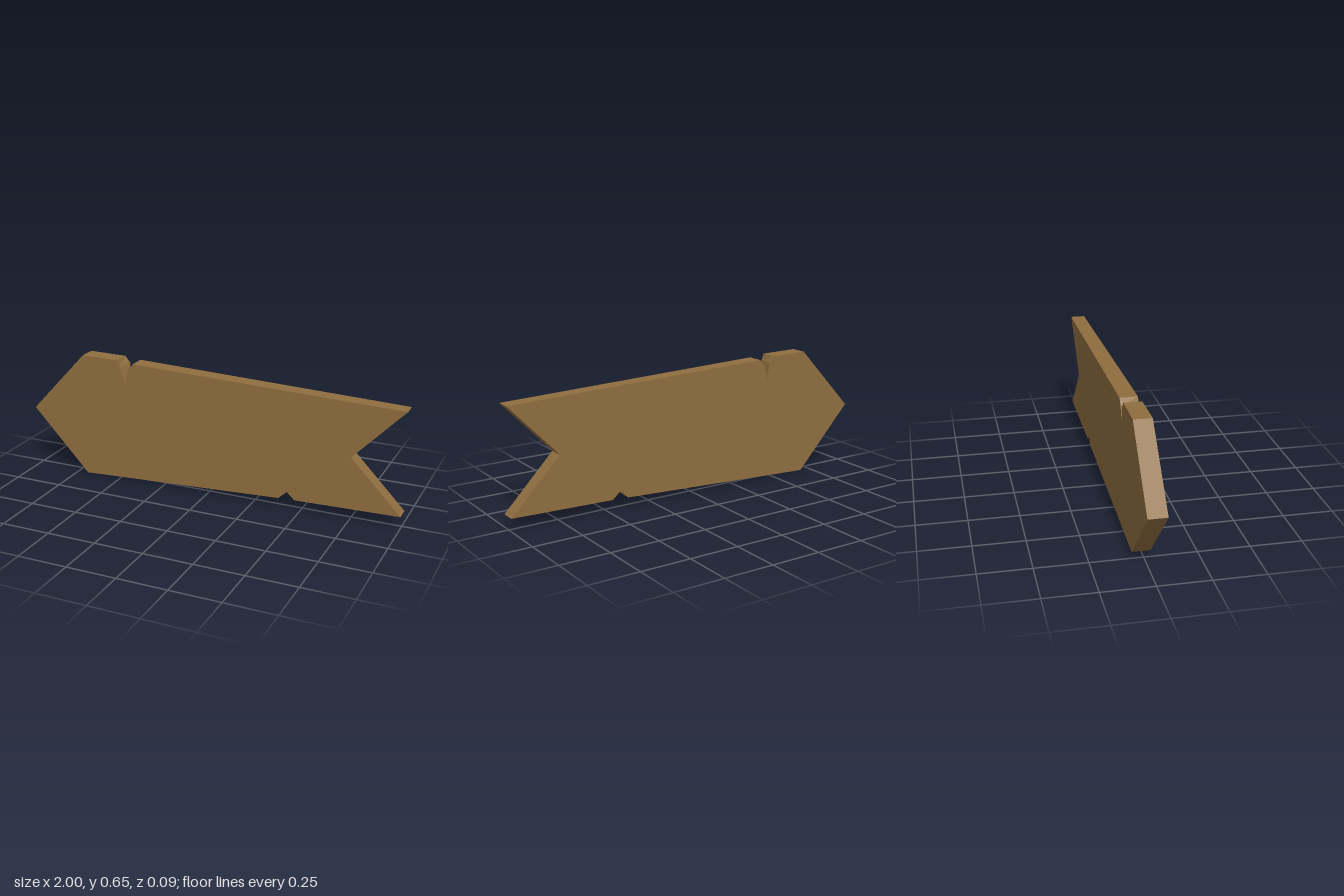
import * as THREE from 'three';

export function createModel() {
  const wood = new THREE.MeshStandardMaterial({ color: 0x8f6e3f });
  wood.name = 'brown wood';

  // Arrow-shaped outline, anticlockwise, with a chip in each long edge
  const outline = [
    [-1, 0.327], [-0.695, 0], [0.385, 0.05], [0.43, 0.09], [0.47, 0.053],
    [1, 0.065], [0.745, 0.327], [1, 0.592], [-0.408, 0.64], [-0.422, 0.61],
    [-0.455, 0.533], [-0.484, 0.618], [-0.495, 0.65], [-0.695, 0.652],
  ];
  const shape = new THREE.Shape(outline.map(([x, y]) => new THREE.Vector2(x, y)));
  const geometry = new THREE.ExtrudeGeometry(shape, { depth: 1, bevelEnabled: false });

  // Thin the board towards its tail; the top chip is narrower at the back
  const p = geometry.attributes.position;
  for (let i = 0; i < p.count; i++) {
    const x = p.getX(i), y = p.getY(i), front = p.getZ(i) > 0.5;
    const t = (x + 1) / 2;
    p.setZ(i, front ? 0.046 - 0.007 * t : -0.045 + 0.009 * t);
    if (!front && Math.abs(y - 0.61) < 0.001) p.setX(i, -0.434);
    if (!front && Math.abs(y - 0.618) < 0.001) p.setX(i, -0.468);
  }
  geometry.computeVertexNormals();

  const board = new THREE.Mesh(geometry, wood);
  board.name = 'arrowBoard';

  const model = new THREE.Group();
  model.name = 'woodenArrowSign';
  model.add(board);
  return model;
}
